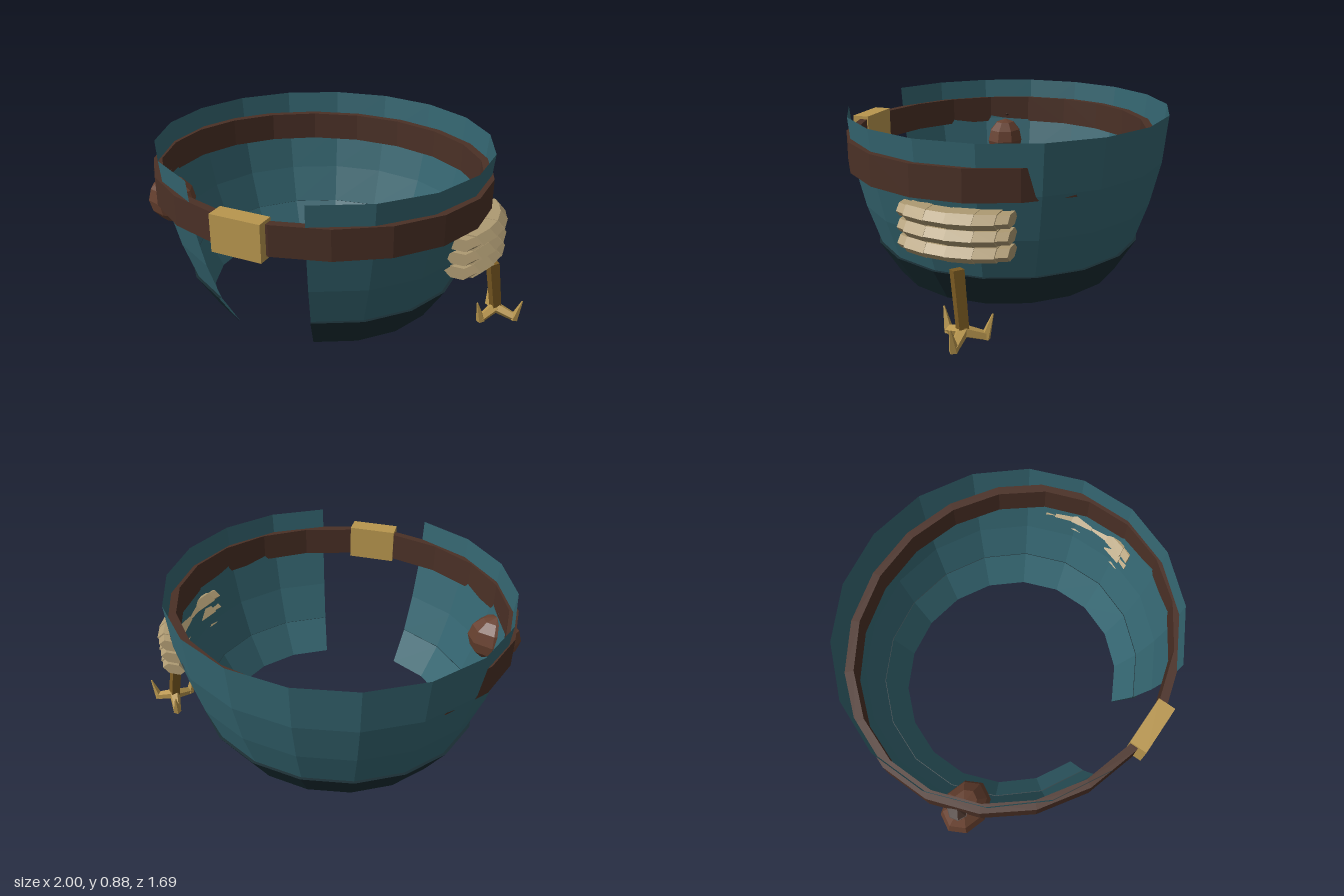
import * as THREE from 'three';

const V2 = (x, y) => new THREE.Vector2(x, y);
const V3 = (x, y, z) => new THREE.Vector3(x, y, z);

function mat(color) {
  return new THREE.MeshStandardMaterial({ color, flatShading: true, side: THREE.DoubleSide });
}

function add(parent, name, geometry, material, x = 0, y = 0, z = 0) {
  const mesh = new THREE.Mesh(geometry, material);
  mesh.name = name;
  mesh.position.set(x, y, z);
  parent.add(mesh);
  return mesh;
}

// Square or round bar tapering from r1 at a to r2 at b
function bar(parent, name, a, b, r1, r2, sides, material) {
  const dir = b.clone().sub(a);
  const mesh = add(parent, name, new THREE.CylinderGeometry(r2, r1, dir.length(), sides), material);
  mesh.position.copy(a).add(b).multiplyScalar(0.5);
  mesh.quaternion.setFromUnitVectors(V3(0, 1, 0), dir.normalize());
  return mesh;
}

// Hexagonal rod lofted along a shallow arc between two z values
function rodPiece(z0, z1, y, halfW, halfH) {
  const pos = [], idx = [], n = 6;
  const arc = z => 0.803 - 1.05 * (z + 0.05) ** 2;
  for (const z of [z0, z1]) {
    for (let i = 0; i < n; i++) {
      const a = i / n * Math.PI * 2;
      pos.push(arc(z) + Math.cos(a) * halfW, y + Math.sin(a) * halfH / 0.866, z);
    }
  }
  for (let i = 0; i < n; i++) {
    const j = (i + 1) % n;
    idx.push(i, j, n + j, i, n + j, n + i);
  }
  for (let i = 1; i < n - 1; i++) idx.push(0, i + 1, i, n, n + i, n + i + 1);
  const g = new THREE.BufferGeometry();
  g.setAttribute('position', new THREE.Float32BufferAttribute(pos, 3));
  g.setIndex(idx);
  g.computeVertexNormals();
  return g;
}

export function createModel() {
  const model = new THREE.Group();
  const teal = mat(0x346570), dark = mat(0x182c32), leather = mat(0x4a3026);
  const gold = mat(0xb8964e), bronze = mat(0x7a5a22), straw = mat(0xae9a72);
  const pouchSkin = mat(0x66402f), pouchTie = mat(0x3a2820);
  const cx = -0.08;

  // Cloth wrap, open at the front, with a dark hem
  const step = Math.PI / 9;
  const wrap = (name, profile, material) => {
    const g = new THREE.LatheGeometry(profile.map(p => V2(...p)), 16, step, step * 16);
    add(model, name, g, material, cx, 0, -0.015).scale.z = 0.95;
  };
  wrap('cloth', [[0.62, 0.045], [0.725, 0.225], [0.797, 0.43], [0.85, 0.65], [0.873, 0.89]], teal);
  wrap('hem', [[0.626, 0.045], [0.74, 0.225], [0.722, 0.226]], dark);

  // Belt ring and buckle
  const beltProfile = [[0.84, 0.63], [0.886, 0.63], [0.886, 0.783], [0.84, 0.783], [0.84, 0.63]];
  const belt = new THREE.LatheGeometry(beltProfile.map(p => V2(...p)), 20, Math.PI / 20);
  add(model, 'belt', belt, leather, cx, 0, 0.02).scale.z = 0.893;
  add(model, 'buckle', new THREE.BoxGeometry(0.255, 0.185, 0.09), gold, cx, 0.707, 0.8);

  // Pouch on the right hip
  const pouch = new THREE.Group();
  pouch.name = 'pouch';
  model.add(pouch);
  add(pouch, 'pouchBody', new THREE.SphereGeometry(1, 8, 6), pouchSkin, -0.86, 0.515, 0.275)
    .scale.set(0.14, 0.13, 0.11);
  add(pouch, 'pouchNeck', new THREE.CylinderGeometry(0.05, 0.025, 0.04, 7), pouchTie, -0.905, 0.655, 0.275);
  add(pouch, 'pouchTop', new THREE.ConeGeometry(0.05, 0.03, 7), pouchTie, -0.905, 0.688, 0.275);

  // Three bent straw rods on the left hip, each made of short pieces
  const rods = new THREE.Group();
  rods.name = 'strawRods';
  model.add(rods);
  const cuts = [0.21, 0.16, 0.05, -0.05, -0.17, -0.26, -0.31];
  for (const y of [0.41, 0.485, 0.56]) {
    for (let i = 0; i < cuts.length - 1; i++) {
      const end = i === 0 || i === cuts.length - 2;
      const k = end ? 0.82 : i % 2 ? 1 : 0.95;
      add(rods, 'rodPiece', rodPiece(cuts[i + 1], cuts[i], y, 0.078 * k, 0.037 * k), straw);
    }
  }

  // Hanging claw charm with three toes
  const claw = new THREE.Group();
  claw.name = 'claw';
  model.add(claw);
  const foot = V3(0.86, 0.07, -0.125);
  bar(claw, 'clawLeg', foot, V3(0.83, 0.34, -0.09), 0.032, 0.036, 4, bronze);
  for (let i = 0; i < 3; i++) {
    const a = i * Math.PI * 2 / 3;
    const out = (r, y) => V3(foot.x + Math.cos(a) * r, y, foot.z + Math.sin(a) * r);
    bar(claw, 'toe', out(0, 0.065), out(0.105, 0.03), 0.03, 0.022, 5, gold);
    bar(claw, 'talon', out(0.1, 0.02), out(0.135, 0.135), 0.024, 0.004, 5, gold);
  }
  return model;
}
